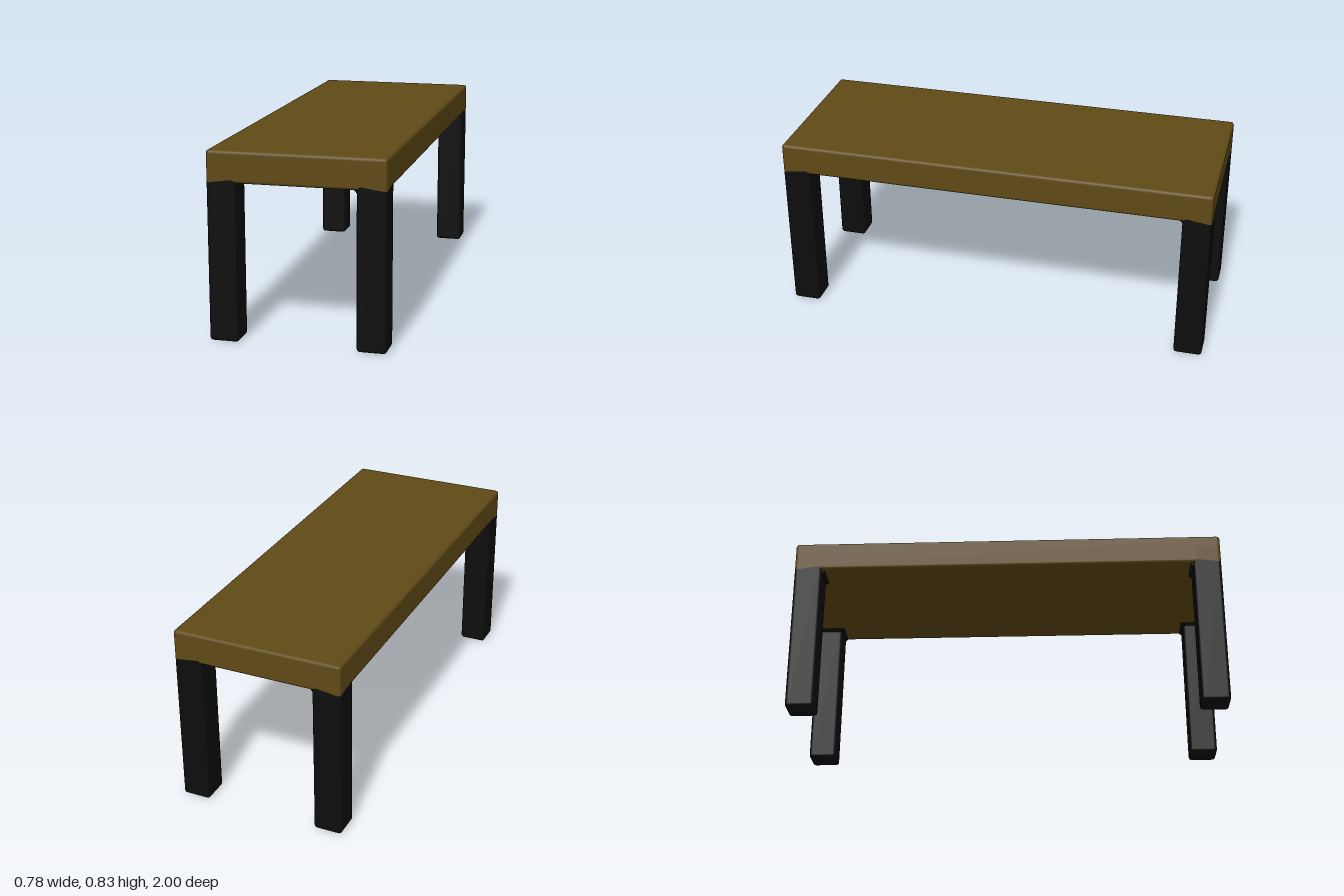
import * as THREE from 'three';
import { RoundedBoxGeometry } from 'three/addons/geometries/RoundedBoxGeometry.js';

const HALF_X = 0.388, HALF_Z = 1, LEG = 0.13, BEVEL = 0.015;
const UNDERSIDE = 0.696, TOP = 0.835;

const wood = new THREE.MeshStandardMaterial({ color: 0x604916 });
const black = new THREE.MeshStandardMaterial({ color: 0x0d0d0d });

function addMesh(parent, name, geometry, material) {
  const mesh = new THREE.Mesh(geometry, material);
  mesh.name = name;
  parent.add(mesh);
  return mesh;
}

// Height of the slanted seam between leg and top: lowest at the outer corner
function seamHeight(x, z) {
  const inset = (HALF_X - Math.abs(x)) + (HALF_Z - Math.abs(z));
  return UNDERSIDE + 0.016 * Math.min(1, inset / 0.11);
}

// Rounded post at a corner; one end is cut along the slanted seam
function post(sx, sz, y0, y1, cutTop) {
  const geo = new RoundedBoxGeometry(LEG, y1 - y0, LEG, 3, BEVEL);
  const mid = (y0 + y1) / 2;
  geo.translate(sx * (HALF_X - LEG / 2), mid, sz * (HALF_Z - LEG / 2));
  const p = geo.attributes.position;
  for (let i = 0; i < p.count; i++) {
    if ((p.getY(i) > mid) === cutTop) p.setY(i, seamHeight(p.getX(i), p.getZ(i)));
  }
  return geo;
}

// Small flare on the two inner sides, where the leg meets the underside
function flare(sx, sz) {
  const size = LEG - 0.012, h = 0.014, grow = 0.012;
  const geo = new THREE.BoxGeometry(size, h, size);
  geo.translate(sx * (HALF_X - LEG + size / 2), UNDERSIDE - h / 2 + 0.001, sz * (HALF_Z - LEG + size / 2));
  const p = geo.attributes.position;
  for (let i = 0; i < p.count; i++) {
    if (p.getY(i) < UNDERSIDE) continue;
    if (Math.abs(p.getX(i)) < HALF_X - LEG / 2) p.setX(i, p.getX(i) - sx * grow);
    if (Math.abs(p.getZ(i)) < HALF_Z - LEG / 2) p.setZ(i, p.getZ(i) - sz * grow);
  }
  geo.computeVertexNormals();
  return geo;
}

export function createModel() {
  const table = new THREE.Group();
  table.name = 'table';

  // Thick slab with softened edges
  const slab = new RoundedBoxGeometry(HALF_X * 2, TOP - UNDERSIDE, HALF_Z * 2, 3, BEVEL);
  addMesh(table, 'tableTop', slab, wood).position.y = (TOP + UNDERSIDE) / 2;

  // Four legs, flush with the sides of the slab
  for (const sx of [1, -1]) {
    for (const sz of [1, -1]) {
      const corner = new THREE.Group();
      corner.name = (sz > 0 ? 'front' : 'back') + (sx > 0 ? 'Left' : 'Right') + 'Leg';
      addMesh(corner, 'leg', post(sx, sz, 0, 0.72, true), black);
      addMesh(corner, 'legFlare', flare(sx, sz), black);
      addMesh(corner, 'topCorner', post(sx, sz, 0.69, 0.8, false), wood);
      table.add(corner);
    }
  }
  return table;
}
